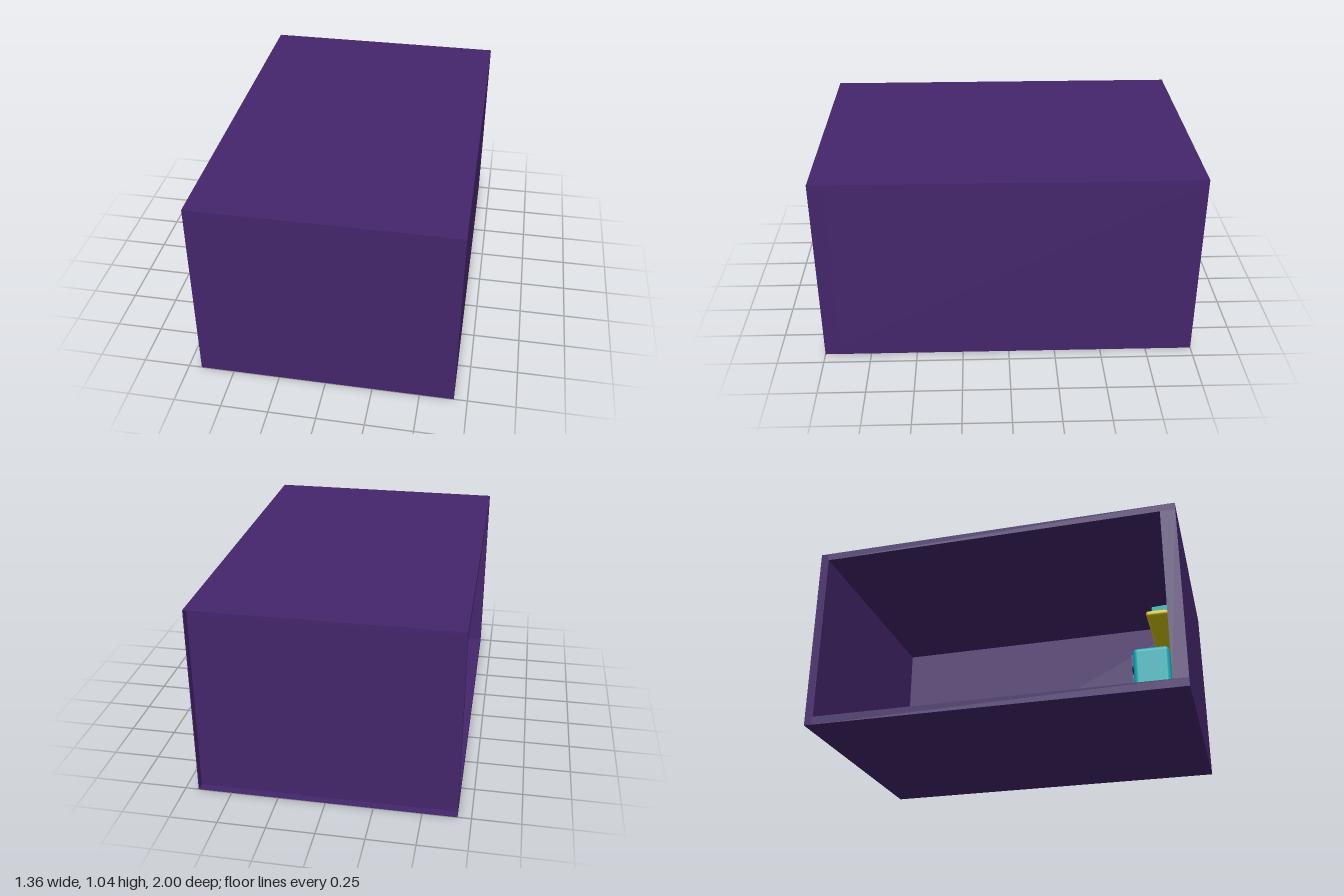
import * as THREE from 'three';
import { RoundedBoxGeometry } from 'three/addons/geometries/RoundedBoxGeometry.js';

const mat = (color) => new THREE.MeshStandardMaterial({ color, side: THREE.DoubleSide });
const M = {
  purple: mat(0x44266c), teal: mat(0x0cb4bc), pink: mat(0xd8186c), red: mat(0xe8403c),
  yellow: mat(0xe0d010), navy: mat(0x0c4680), black: mat(0x141414), grey: mat(0xcccccc),
};

// Box given by its min and max corners; r > 0 rounds the edges
function box(parent, name, m, [x0, y0, z0], [x1, y1, z1], r = 0) {
  const w = x1 - x0, h = y1 - y0, d = z1 - z0;
  const geo = r ? new RoundedBoxGeometry(w, h, d, 3, r) : new THREE.BoxGeometry(w, h, d);
  const mesh = new THREE.Mesh(geo, m);
  mesh.name = name;
  mesh.position.set((x0 + x1) / 2, (y0 + y1) / 2, (z0 + z1) / 2);
  parent.add(mesh);
  return mesh;
}

// Rounded rectangle slab in the xy plane, with depth along z
function roundedPanel(w, h, r, depth) {
  const s = new THREE.Shape();
  const x = w / 2, y = h / 2;
  s.moveTo(-x + r, -y);
  s.lineTo(x - r, -y).absarc(x - r, -y + r, r, -Math.PI / 2, 0);
  s.lineTo(x, y - r).absarc(x - r, y - r, r, 0, Math.PI / 2);
  s.lineTo(-x + r, y).absarc(-x + r, y - r, r, Math.PI / 2, Math.PI);
  s.lineTo(-x, -y + r).absarc(-x + r, -y + r, r, Math.PI, Math.PI * 1.5);
  return new THREE.ExtrudeGeometry(s, { depth, bevelEnabled: false, curveSegments: 6 });
}

function group(parent, name) {
  const g = new THREE.Group();
  g.name = name;
  parent.add(g);
  return g;
}

// Cushion: a sphere squared off in plan and thin at its rim
function pillowGeometry(w, h, d) {
  const geo = new THREE.SphereGeometry(1, 32, 20);
  const p = geo.attributes.position;
  for (let i = 0; i < p.count; i++) {
    const x = p.getX(i), y = p.getY(i), z = p.getZ(i);
    const sq = (v) => Math.sign(v) * Math.pow(Math.abs(v), 0.45);
    p.setXYZ(i, sq(x) * w / 2, Math.sign(y) * Math.pow(Math.abs(y), 0.8) * h / 2, sq(z) * d / 2);
  }
  geo.computeVertexNormals();
  return geo;
}

function addRoom(root) {
  const g = group(root, 'room');
  const X = 0.68, H = 1.04, B = -0.96, P = M.purple;
  box(g, 'floor', P, [-X, 0, B], [X, 0.045, 1]);
  box(g, 'ceiling', P, [-X, 1, B], [X, H, 1]);
  box(g, 'frontWall', P, [-X, 0.045, 0.92], [X, 1, 1]);
  box(g, 'sideWall', P, [0.64, 0.045, B], [X, 1, 0.92]);
  box(g, 'backWall', P, [-X, 0.045, B], [0.64, 1, B + 0.006]);
  // Thin rim around the recessed back wall
  const t = 0.004;
  box(g, 'backRimBottom', P, [-X, 0, -1], [X, t, B]);
  box(g, 'backRimTop', P, [-X, H - t, -1], [X, H, B]);
  box(g, 'backRimLeft', P, [X - t, t, -1], [X, H - t, B]);
  box(g, 'backRimRight', P, [-X, t, -1], [-X + t, H - t, B]);
}

function addBed(root) {
  const g = group(root, 'bed');
  const x0 = -0.19, x1 = 0.57;
  box(g, 'bedBase', M.teal, [x0, 0.045, 0.055], [x1, 0.135, 0.86], 0.012);
  box(g, 'headboard', M.teal, [x0 + 0.02, 0.045, 0.83], [x1 - 0.02, 0.355, 0.92], 0.035);
  box(g, 'mattress', M.red, [x0 + 0.02, 0.135, 0.07], [x1 - 0.02, 0.225, 0.83], 0.025);
  box(g, 'blanket', M.pink, [x0 + 0.01, 0.15, 0.095], [x1 - 0.01, 0.243, 0.58], 0.014);
  for (const x of [0.015, 0.365]) {
    const pillow = new THREE.Mesh(pillowGeometry(0.33, 0.1, 0.2), M.pink);
    pillow.name = 'pillow';
    pillow.position.set(x, 0.258, 0.71);
    pillow.rotation.x = -0.25;
    g.add(pillow);
  }
}

function addNightstand(root) {
  const g = group(root, 'nightstand');
  box(g, 'cabinet', M.teal, [-0.56, 0.045, 0.72], [-0.265, 0.29, 0.905], 0.025);
  for (const y of [0.113, 0.223]) {
    const drawer = new THREE.Mesh(roundedPanel(0.265, 0.1, 0.025, 0.01), M.navy);
    drawer.name = 'drawer';
    drawer.position.set(-0.4125, y, 0.713);
    g.add(drawer);
    box(g, 'drawerHandle', M.teal, [-0.435, y + 0.008, 0.704], [-0.39, y + 0.018, 0.714]);
  }
  const book = box(g, 'bedsideBook', M.grey, [-0.465, 0.29, 0.76], [-0.365, 0.312, 0.86], 0.006);
  book.rotation.y = 0.25;
}

function addShelf(root) {
  const g = group(root, 'shelf');
  box(g, 'shelfBoard', M.yellow, [-0.46, 0.515, 0.79], [0.15, 0.545, 0.92], 0.012);
  // Stack of books, bottom to top
  let y = 0.545;
  [[M.black, 0.045, 0], [M.grey, 0.022, 0.12], [M.teal, 0.032, -0.1]].forEach(([m, h, turn]) => {
    const b = box(g, 'shelfBook', m, [-0.32, y, 0.81], [-0.22, y + h, 0.91], 0.005);
    b.rotation.y = turn;
    y += h;
  });
  box(g, 'smallOrnament', M.teal, [-0.205, 0.545, 0.83], [-0.16, 0.575, 0.89], 0.006);
}

export function createModel() {
  const root = new THREE.Group();
  root.name = 'bedroom';
  addRoom(root);
  addBed(root);
  addNightstand(root);
  addShelf(root);
  // Rug: rounded slab laid on the floor
  const rug = new THREE.Mesh(roundedPanel(0.35, 0.49, 0.025, 0.014), M.yellow);
  rug.name = 'rug';
  rug.rotation.x = -Math.PI / 2;
  rug.position.set(-0.43, 0.045, 0.355);
  root.add(rug);
  return root;
}
